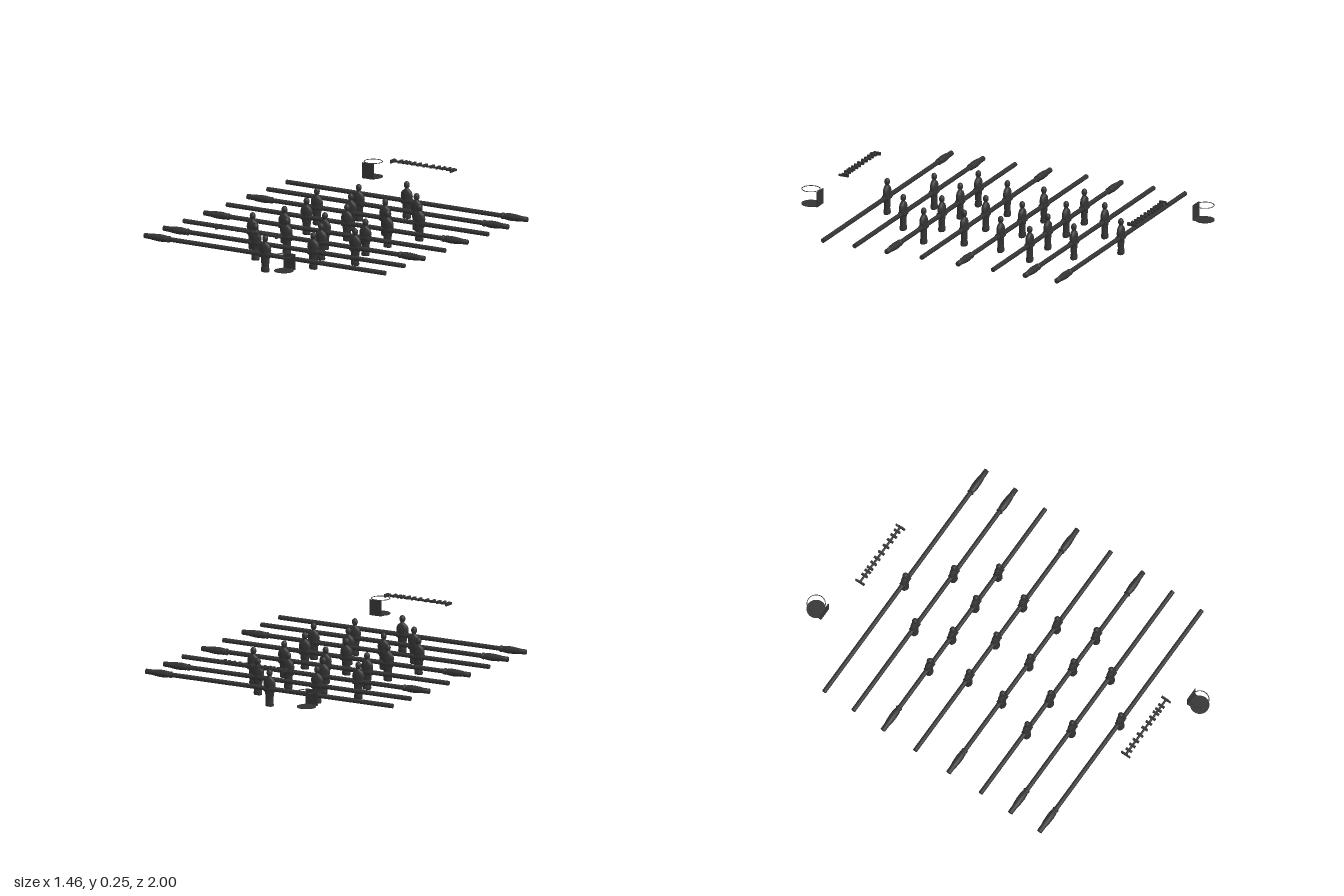
import * as THREE from 'three';

const material = new THREE.MeshStandardMaterial({ color: 0x333333, side: THREE.DoubleSide });
const ROD_Y = 0.091;

function part(name, geometry, x = 0, y = 0, z = 0) {
  const mesh = new THREE.Mesh(geometry, material);
  mesh.name = name;
  mesh.position.set(x, y, z);
  return mesh;
}

const lathe = (points, sides = 20) =>
  new THREE.LatheGeometry(points.map(([r, y]) => new THREE.Vector2(r, y)), sides);

// Elliptical stack of [y, half width, half depth]
function loft(rows, sides = 20) {
  const g = lathe(rows.map(([y]) => [1, y]), sides);
  const p = g.attributes.position;
  for (let i = 0; i < p.count; i++) {
    const [, w, d] = rows[i % rows.length];
    p.setX(i, p.getX(i) * w);
    p.setZ(i, p.getZ(i) * d);
  }
  g.computeVertexNormals();
  return g;
}

// Figure: feet, legs, torso with sloping shoulders, head
const bodyGeometry = loft([
  [0, 0.001, 0.001], [0, 0.021, 0.015], [0.006, 0.023, 0.018], [0.022, 0.022, 0.017],
  [0.03, 0.021, 0.014], [0.06, 0.024, 0.015], [0.08, 0.026, 0.016], [0.098, 0.031, 0.017],
  [0.115, 0.035, 0.017], [0.13, 0.033, 0.017], [0.143, 0.026, 0.015], [0.151, 0.015, 0.012],
  [0.156, 0.009, 0.009], [0.161, 0.01, 0.01],
]);
const headGeometry = new THREE.SphereGeometry(1, 18, 12).scale(0.0155, 0.0195, 0.0145);
const hubGeometry = new THREE.CylinderGeometry(0.0175, 0.0175, 0.056, 20).rotateZ(Math.PI / 2);

function player(x) {
  const g = new THREE.Group();
  g.name = 'player';
  g.add(part('body', bodyGeometry), part('head', headGeometry, 0, 0.174), part('rodHub', hubGeometry, 0, ROD_Y));
  g.position.x = x;
  return g;
}

// Bar with a swelling grip at one end
const rodGeometry = new THREE.CylinderGeometry(0.012, 0.012, 1.455, 16).rotateZ(Math.PI / 2);
const gripGeometry = lathe([
  [0, 0.58], [0.017, 0.58], [0.017, 0.588], [0.0135, 0.59], [0.0135, 0.594], [0.0165, 0.598],
  [0.019, 0.625], [0.0185, 0.65], [0.0165, 0.675], [0.014, 0.692], [0.0135, 0.729], [0, 0.729],
]).rotateZ(-Math.PI / 2);

function playerRod(z, gripSide, xs) {
  const g = new THREE.Group();
  g.name = 'playerRod';
  const grip = part('grip', gripGeometry, 0, ROD_Y);
  if (gripSide < 0) grip.rotation.y = Math.PI;
  g.add(part('rod', rodGeometry, 0, ROD_Y), grip, ...xs.map(player));
  g.position.z = z;
  return g;
}

// Score counter: slim bar, end brackets and ten sliding markers
function scoreCounter() {
  const g = new THREE.Group();
  g.name = 'scoreCounter';
  const y = 0.242, z = 0.822;
  g.add(part('bar', new THREE.CylinderGeometry(0.006, 0.006, 0.36, 12).rotateZ(Math.PI / 2), 0, y, z));
  for (const x of [-0.181, 0.181]) {
    g.add(part('endBracket', new THREE.BoxGeometry(0.009, 0.01, 0.055), x, 0.24, z));
    g.add(part('bracketLip', new THREE.BoxGeometry(0.009, 0.01, 0.038), x, 0.247, z - 0.008));
  }
  const marker = new THREE.BoxGeometry(0.011, 0.013, 0.036);
  for (const x of [-0.153, -0.122, -0.09, -0.053, -0.011, 0.026, 0.058, 0.09, 0.111, 0.138])
    g.add(part('scoreMarker', marker, x, 0.245, z));
  return g;
}

// Cup holder: mounting plate, round floor and thin upper ring
function cupHolder() {
  const g = new THREE.Group();
  g.name = 'cupHolder';
  const r = 0.049, z = 0.951;
  g.add(part('mountingPlate', new THREE.BoxGeometry(0.07, 0.082, 0.004), 0, 0.145, 0.899));
  g.add(part('floorDisc', new THREE.CylinderGeometry(r, r, 0.004, 40), 0, 0.106, z));
  g.add(part('floorTab', new THREE.BoxGeometry(0.07, 0.004, 0.035), 0, 0.106, 0.915));
  g.add(part('ring', new THREE.TorusGeometry(r - 0.002, 0.002, 8, 48).rotateX(Math.PI / 2), 0, 0.185, z));
  g.position.x = 0.296;
  return g;
}

export function createModel() {
  const model = new THREE.Group();
  model.name = 'tableFootballSet';

  // [z, grip side, figure positions]
  const rods = [
    [-0.666, 1, [0]],
    [-0.486, 1, [-0.175, 0.175]],
    [-0.302, -1, [-0.31, -0.104, 0.104, 0.31]],
    [-0.104, 1, [-0.245, 0, 0.245]],
  ];
  for (const [z, side, xs] of rods)
    model.add(playerRod(z, side, xs), playerRod(-z, -side, xs));

  // Matching fittings at both ends
  const backCounter = scoreCounter();
  backCounter.rotation.y = Math.PI;
  const backCup = cupHolder();
  backCup.rotation.y = Math.PI;
  backCup.position.x = -0.386;
  model.add(scoreCounter(), backCounter, cupHolder(), backCup);
  return model;
}
